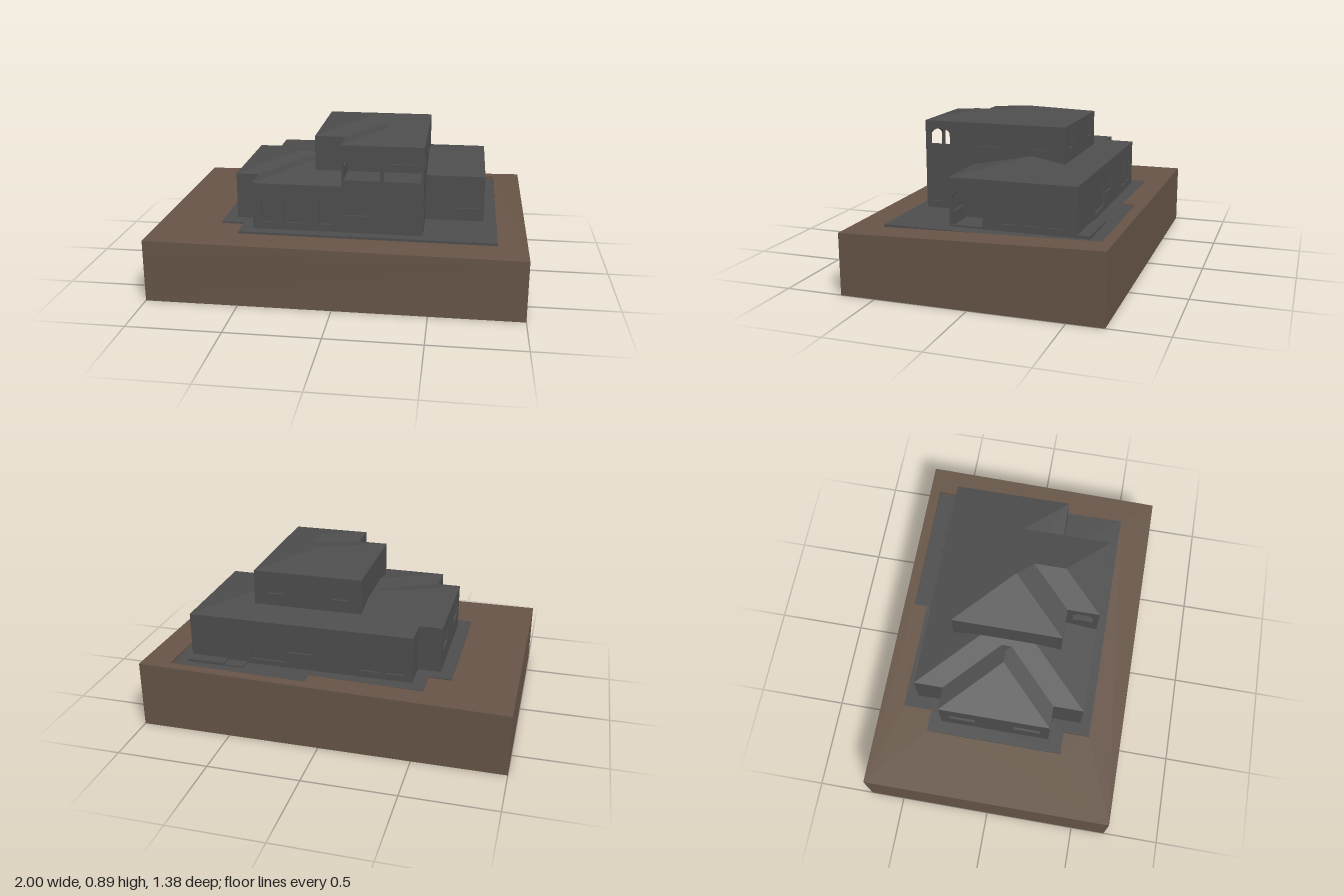
import * as THREE from 'three';
import { ConvexGeometry } from 'three/addons/geometries/ConvexGeometry.js';

const GROUND = 0.35, EAVE = 0.605, TOP = 0.83, PITCH = 0.2, WALL = 0.012;

export function createModel() {
  const charcoal = new THREE.MeshStandardMaterial({ color: 0x4d4d4d });
  charcoal.name = 'charcoal';
  const earth = new THREE.MeshStandardMaterial({ color: 0x665446 });
  earth.name = 'earth';
  const model = new THREE.Group();
  model.name = 'houseOnPlot';

  const add = (name, geometry, material = charcoal) => {
    const mesh = new THREE.Mesh(geometry, material);
    mesh.name = name;
    model.add(mesh);
    return mesh;
  };

  // Box given by its two extreme corners
  const block = (name, x0, x1, y0, y1, z0, z1, material) =>
    add(name, new THREE.BoxGeometry(x1 - x0, y1 - y0, z1 - z0), material)
      .position.set((x0 + x1) / 2, (y0 + y1) / 2, (z0 + z1) / 2);

  // Vertical prism from a plan outline of [x, z] points
  const plan = (points, y0, y1, hole) => {
    const flat = list => list.map(([x, z]) => new THREE.Vector2(x, -z));
    const shape = new THREE.Shape(flat(points));
    if (hole) shape.holes.push(new THREE.Path(flat(hole)));
    return new THREE.ExtrudeGeometry(shape, { depth: y1 - y0, bevelEnabled: false })
      .rotateX(-Math.PI / 2).translate(0, y0, 0);
  };

  // Wall plate from a to b, outside on the right-hand side of travel.
  // Openings are [from, to, bottom, top, archRise] in world coordinates along the wall.
  const wall = (name, a, b, y0, y1, openings = []) => {
    const dx = b[0] - a[0], dz = b[1] - a[1], length = Math.hypot(dx, dz);
    const start = Math.abs(dx) > Math.abs(dz) ? a[0] : a[1];
    const shape = new THREE.Shape();
    shape.moveTo(0, y0).lineTo(length, y0).lineTo(length, y1).lineTo(0, y1).closePath();
    for (const [from, to, low, high, rise = 0] of openings) {
      const u = [Math.abs(from - start), Math.abs(to - start)].sort((p, q) => p - q);
      const hole = new THREE.Path();
      hole.moveTo(u[0], low).lineTo(u[0], high - rise);
      if (rise) hole.bezierCurveTo(u[0] + (u[1] - u[0]) * 0.2, high + rise / 3,
        u[1] - (u[1] - u[0]) * 0.2, high + rise / 3, u[1], high - rise);
      else hole.lineTo(u[0], high).lineTo(u[1], high);
      hole.lineTo(u[1], low).closePath();
      shape.holes.push(hole);
    }
    const geometry = new THREE.ExtrudeGeometry(shape, { depth: WALL, bevelEnabled: false, curveSegments: 12 });
    geometry.translate(0, 0, -WALL).rotateY(Math.atan2(-dz, dx)).translate(a[0], 0, a[1]);
    add(name, geometry);
  };

  // Hipped roof over a rectangle, all slopes at the same pitch
  const hip = (name, x0, x1, z0, z1, y) => {
    const h = Math.min(x1 - x0, z1 - z0) / 2, top = y + h * PITCH;
    const points = [[x0, y, z0], [x1, y, z0], [x1, y, z1], [x0, y, z1],
      [x0 + h, top, z0 + h], [x1 - h, top, z1 - h]];
    add(name, new ConvexGeometry(points.map(p => new THREE.Vector3(...p))));
  };

  // Plot: solid base, sloping terrain and a paved slab let into it
  const slab = [[-0.53, 0.51], [0.845, 0.51], [0.845, -0.63], [0.085, -0.63], [0.085, -0.555],
    [-0.53, -0.56], [-0.53, -0.4], [-0.655, -0.4], [-0.655, 0.365], [-0.53, 0.365]];
  block('plotBase', -1, 1, 0, 0.3, -0.69, 0.69, earth);
  const terrain = plan([[-1, 0.69], [1, 0.69], [1, -0.69], [-1, -0.69]], 0.3, 0.34, slab);
  const pos = terrain.attributes.position;
  for (let i = 0; i < pos.count; i++) {
    if (pos.getY(i) < 0.32) continue;
    const u = (pos.getX(i) + 1) / 2, v = (0.69 - pos.getZ(i)) / 1.38;
    pos.setY(i, 0.34 + u * (0.042 * v - 0.01));
  }
  terrain.computeVertexNormals();
  add('terrain', terrain, earth);
  add('pavedSlab', plan(slab, 0.3, GROUND));
  block('backStepLow', 0.455, 0.565, 0.3, 0.358, -0.555, -0.48);
  block('backStepHigh', 0.565, 0.775, 0.3, 0.365, -0.555, -0.48);

  // Recessed cores form the window panes behind the wall plates
  const w = WALL;
  block('mainCore', -0.46 + w, 0.455 - w, 0.34, 0.604, -0.49 + w, 0.45 - w);
  block('sideCore', -0.585 + w, -0.4, 0.34, 0.604, -0.33 + w, 0.285 - w);
  block('porchWingCore', 0.4, 0.775 - w, 0.34, 0.604, -0.49 + w, -0.02);
  block('porchInnerCore', 0.4, 0.58, 0.34, 0.604, -0.03, 0.18 - w);
  block('upperCore', -0.145 + w, 0.455 - w, 0.6, 0.829, -0.33 + w, 0.275 - 2 * w);
  block('loggiaFloor', 0.021, 0.454, 0.6, 0.64, 0.25, 0.449);

  // Ground-floor walls
  wall('frontWall', [-0.46, 0.45], [0.02, 0.45], GROUND, EAVE,
    [[-0.41, -0.34, 0.39, 0.53], [-0.285, -0.165, 0.39, 0.53], [-0.095, -0.02, 0.39, 0.53]]);
  wall('towerFrontWall', [0.02, 0.45], [0.455, 0.45], GROUND, TOP,
    [[0.03, 0.17, 0.445, 0.53], [0.03, 0.225, 0.64, 0.765, 0.035], [0.245, 0.44, 0.64, 0.765, 0.035]]);
  wall('frontSideWall', [0.455, 0.45], [0.455, 0.18], GROUND, EAVE, [[0.42, 0.35, 0.385, 0.545]]);
  wall('porchFrontWall', [0.455, 0.18], [0.775, 0.18], GROUND, EAVE, [[0.6, 0.745, 0.42, 0.54, 0.03]]);
  wall('porchSideWall', [0.775, 0.18], [0.775, -0.49], GROUND, EAVE,
    [[0.17, 0, 0.36, 0.545, 0.05], ...[-0.08, -0.205, -0.325].map(z => [z, z - 0.085, 0.385, 0.545])]);
  wall('backWall', [0.775, -0.49], [-0.46, -0.49], GROUND, EAVE,
    [[0.43, 0.235, 0.38, 0.53], [0.22, 0.08, 0.44, 0.53],
      [-0.17, -0.29, 0.385, 0.53], [-0.32, -0.41, 0.385, 0.53]]);
  wall('backCornerWall', [-0.46, -0.49], [-0.46, -0.33], GROUND, EAVE);
  wall('sideBackWall', [-0.46, -0.33], [-0.585, -0.33], GROUND, EAVE);
  wall('sideWall', [-0.585, -0.33], [-0.585, 0.285], GROUND, EAVE,
    [[-0.28, -0.13, 0.45, 0.535], [0.085, 0.235, 0.45, 0.535]]);
  wall('sideFrontWall', [-0.585, 0.285], [-0.46, 0.285], GROUND, EAVE);
  wall('frontCornerWall', [-0.46, 0.285], [-0.46, 0.45], GROUND, EAVE);

  // Upper-floor walls with the open loggia
  const sideArch = [0.31, 0.42, 0.705, 0.79, 0.025];
  wall('upperRightWall', [0.455, 0.45], [0.455, -0.33], EAVE, TOP,
    [sideArch, [0.15, 0.015, 0.705, 0.795], [-0.15, -0.23, 0.705, 0.795]]);
  wall('upperBackWall', [0.455, -0.33], [-0.145, -0.33], EAVE, TOP,
    [[0.38, 0.29, 0.705, 0.795], [0.014, -0.075, 0.705, 0.795]]);
  wall('upperLeftWall', [-0.145, -0.33], [-0.145, 0.275], EAVE, TOP);
  wall('loggiaBackWall', [-0.145, 0.275], [0.455, 0.275], EAVE, TOP, [[0.25, 0.39, 0.685, 0.76]]);
  wall('loggiaSideWall', [0.02, 0.275], [0.02, 0.45], EAVE, TOP, [sideArch]);

  // Hipped roofs, merging where they cross
  hip('mainRoof', -0.46, 0.455, -0.49, 0.45, EAVE);
  hip('porchWingRoof', -0.3, 0.775, -0.49, 0.18, EAVE);
  hip('sideRoof', -0.585, 0.1, -0.33, 0.285, EAVE);
  hip('upperRoof', -0.145, 0.455, -0.33, 0.275, TOP);
  hip('loggiaRoof', 0.02, 0.455, -0.2, 0.45, TOP);

  return model;
}
